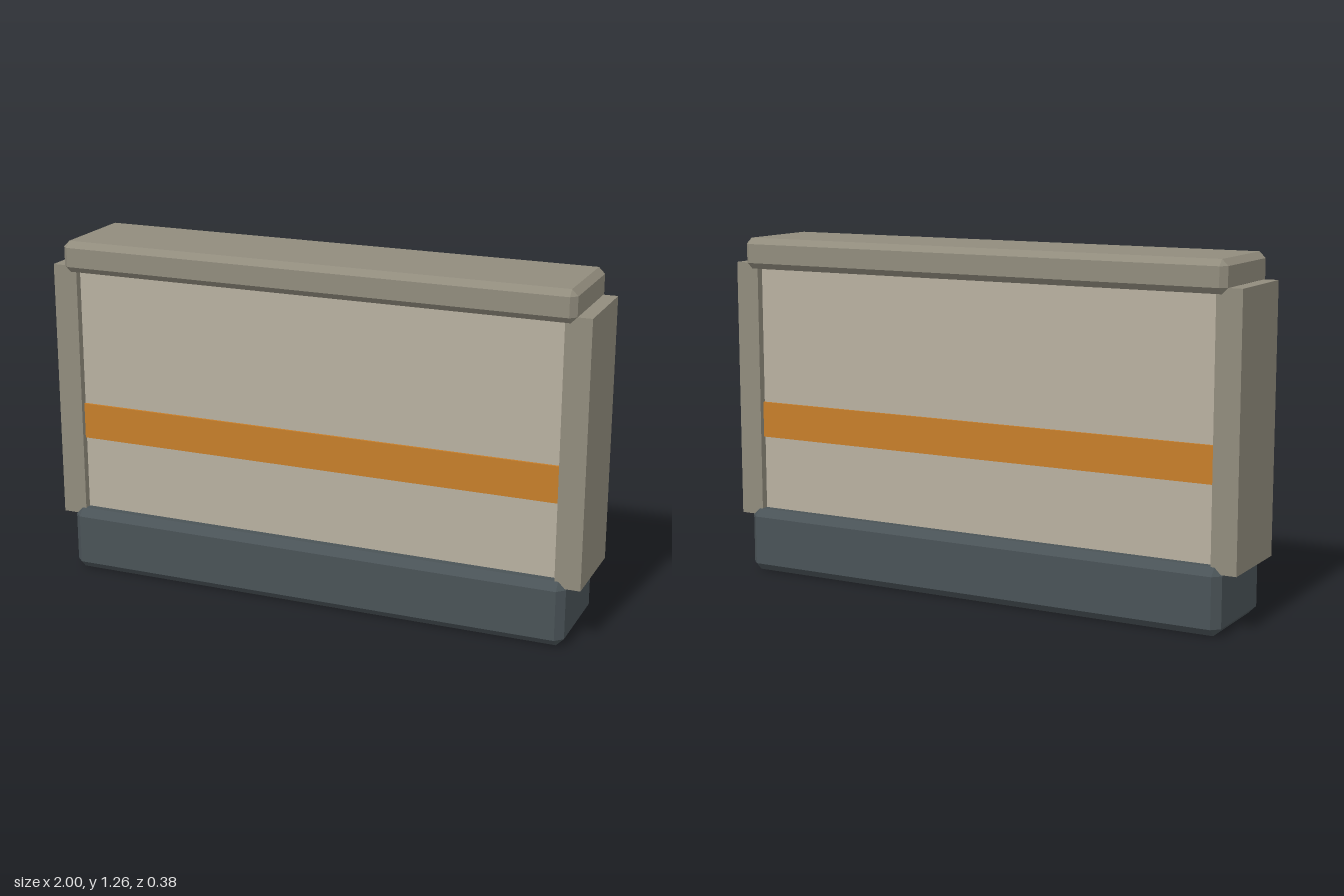
import * as THREE from 'three';
import { ConvexGeometry } from 'three/addons/geometries/ConvexGeometry.js';

const material = (name, color) => {
  const m = new THREE.MeshStandardMaterial({ color });
  m.name = name;
  return m;
};

// Box with every edge cut at 45 degrees, from y0 to y1
function chamferedBox(halfX, y0, y1, halfZ, c) {
  const halfY = (y1 - y0) / 2;
  const points = [];
  for (const sx of [-1, 1]) for (const sy of [-1, 1]) for (const sz of [-1, 1]) {
    points.push(
      new THREE.Vector3(sx * halfX, sy * (halfY - c), sz * (halfZ - c)),
      new THREE.Vector3(sx * (halfX - c), sy * halfY, sz * (halfZ - c)),
      new THREE.Vector3(sx * (halfX - c), sy * (halfY - c), sz * halfZ),
    );
  }
  return new ConvexGeometry(points).translate(0, (y0 + y1) / 2, 0);
}

// Plain box centred on z = 0, from y0 to y1
function box(width, y0, y1, depth) {
  return new THREE.BoxGeometry(width, y1 - y0, depth).translate(0, (y0 + y1) / 2, 0);
}

export function createModel() {
  const group = new THREE.Group();
  group.name = 'barrierWall';

  const trim = material('trimGrey', 0x918c7d);
  const wall = material('wallBeige', 0xb8b0a0);
  const orange = material('stripeOrange', 0xc67e2a);
  const slate = material('baseSlate', 0x4a5357);

  const add = (name, geometry, mat, x = 0) => {
    const mesh = new THREE.Mesh(geometry, mat);
    mesh.name = name;
    mesh.position.x = x;
    group.add(mesh);
  };

  // Plinth and coping
  add('base', chamferedBox(0.95, 0, 0.237, 0.19, 0.028), slate);
  add('cap', chamferedBox(0.95, 1.144, 1.258, 0.19, 0.022), trim);

  // Recessed wall panel
  add('panel', box(1.83, 0.2, 1.2, 0.272), wall);

  // End posts
  for (const [name, side] of [['leftPost', 1], ['rightPost', -1]]) {
    add(name, box(0.092, 0.213, 1.165, 0.326), trim, side * 0.954);
  }

  // Painted band, a thin plate on each face
  for (const [name, side] of [['frontStripe', 1], ['backStripe', -1]]) {
    add(name, box(1.816, 0.51, 0.642, 0.009).translate(0, 0, side * 0.1405), orange);
  }

  return group;
}
